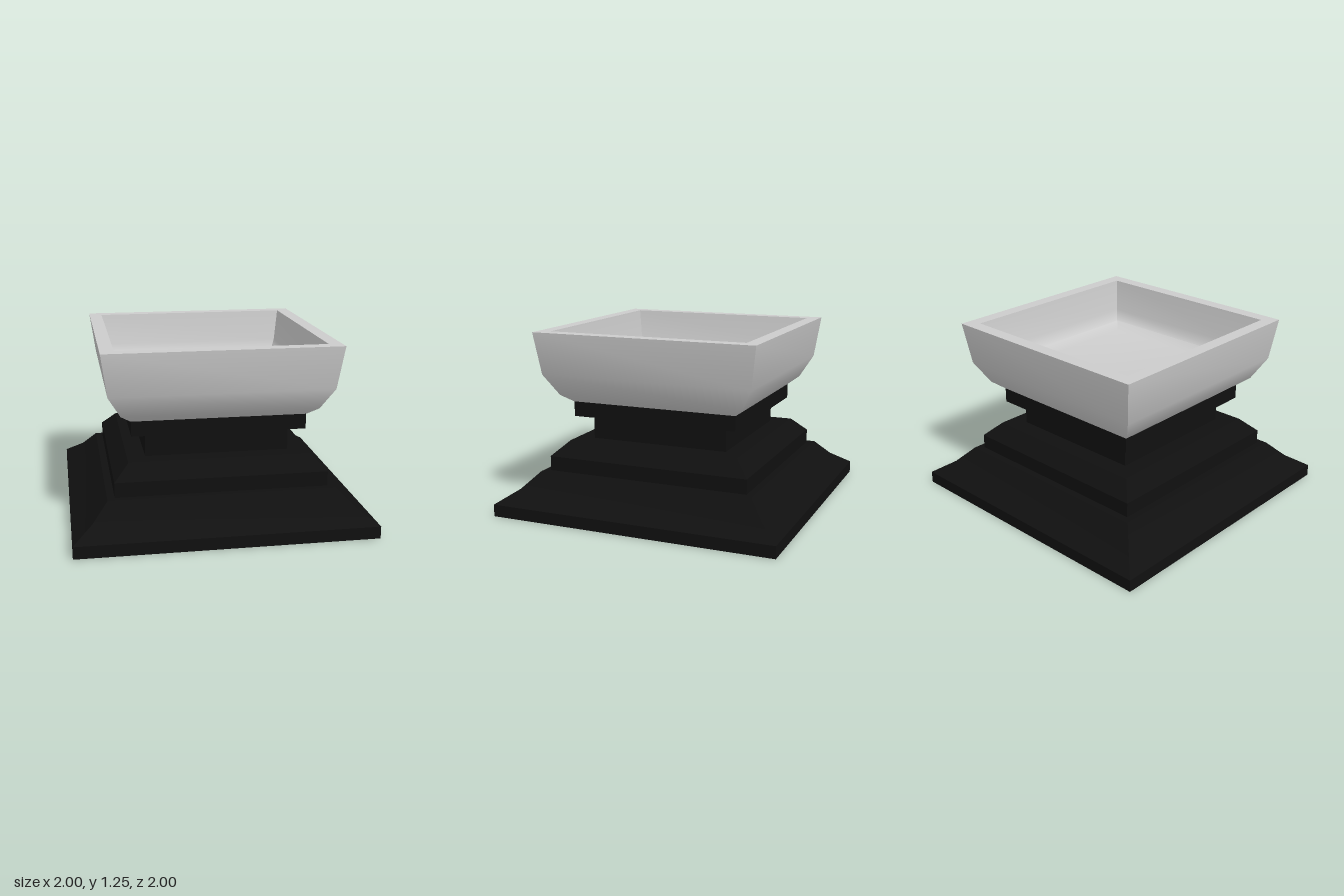
import * as THREE from 'three';
import { toCreasedNormals } from 'three/addons/utils/BufferGeometryUtils.js';

// Sweeps a profile of [half width, height] around a square plan.
function squareSweep(name, profile, material, creaseDegrees) {
  const points = profile.map(([half, y]) => new THREE.Vector2(half * Math.SQRT2, y));
  const lathe = new THREE.LatheGeometry(points, 4, Math.PI / 4);
  const mesh = new THREE.Mesh(
    toCreasedNormals(lathe, THREE.MathUtils.degToRad(creaseDegrees)), material);
  mesh.name = name;
  return mesh;
}

export function createModel() {
  const model = new THREE.Group();
  model.name = 'squareBowlOnPedestal';
  const black = new THREE.MeshStandardMaterial({ color: 0x101010 });
  const grey = new THREE.MeshStandardMaterial({ color: 0xcccccc });

  // Stepped pedestal: plinth, two sloped mouldings, neck and collar
  model.add(squareSweep('pedestal', [
    [0, 0], [1, 0], [1, 0.083], [0.867, 0.173], [0.763, 0.282],
    [0.714, 0.282], [0.714, 0.383], [0.612, 0.482], [0.489, 0.482],
    [0.489, 0.652], [0.587, 0.652], [0.587, 0.755], [0, 0.755],
  ], black, 30));

  // Bowl outside and flat rim
  model.add(squareSweep('bowlShell', [
    [0, 0.755], [0.589, 0.755], [0.658, 0.808], [0.742, 0.957],
    [0.783, 1.247], [0.693, 1.247],
  ], grey, 35));

  // Hollow with walls rounding into the floor
  model.add(squareSweep('bowlBasin', [
    [0.693, 1.247], [0.663, 1.024], [0.633, 0.943], [0.533, 0.912], [0, 0.912],
  ], grey, 60));

  return model;
}
